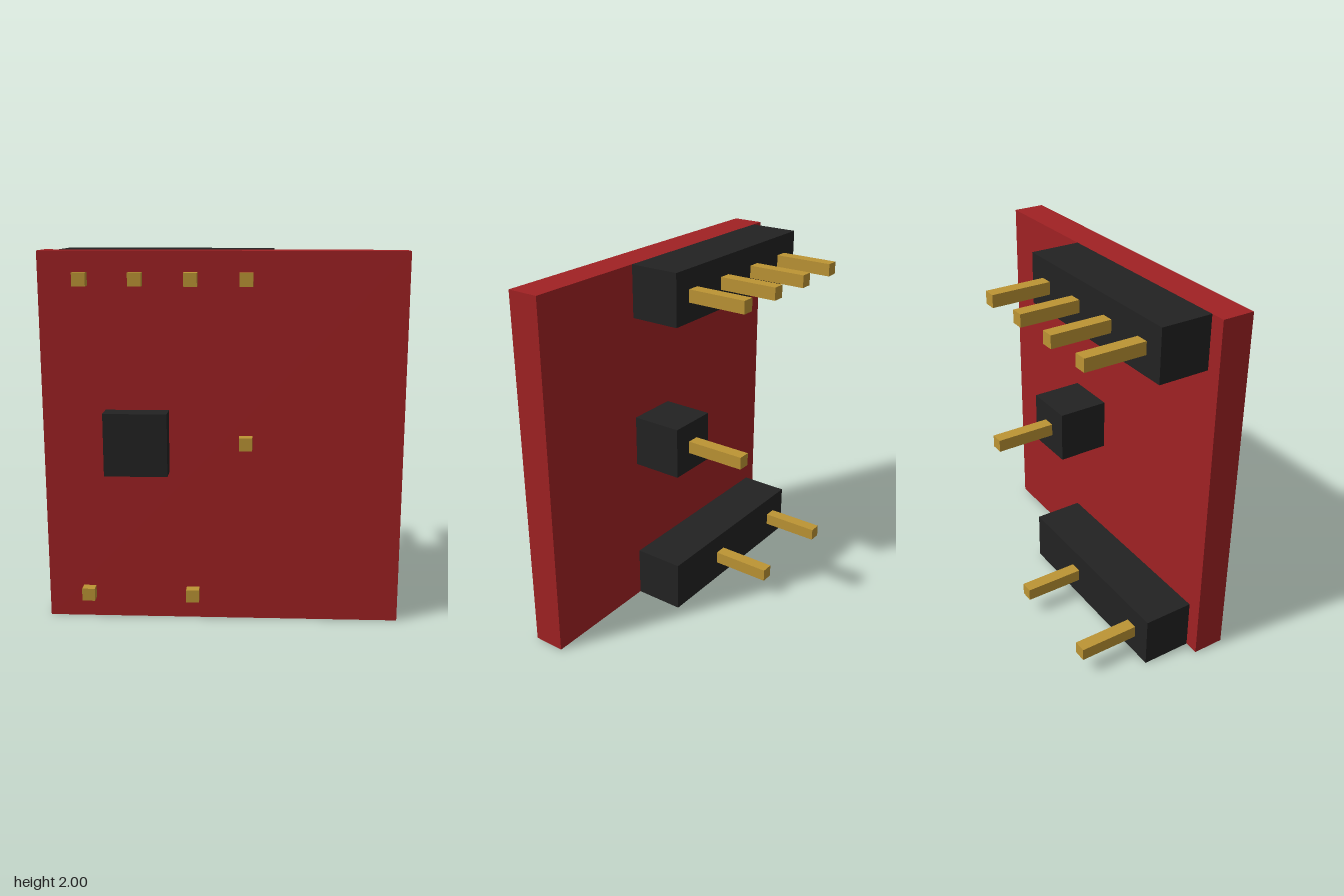
import * as THREE from 'three';

export function createModel() {
  const model = new THREE.Group();
  model.name = 'circuitBoard';

  const material = (name, color) => {
    const m = new THREE.MeshStandardMaterial({ color });
    m.name = name;
    return m;
  };
  const red = material('boardRed', 0xa02123);
  const black = material('plasticBlack', 0x222222);
  const gold = material('pinGold', 0xbc9434);

  // Box given by its extents on each axis
  const box = (name, mat, [x0, x1], [y0, y1], [z0, z1]) => {
    const mesh = new THREE.Mesh(new THREE.BoxGeometry(x1 - x0, y1 - y0, z1 - z0), mat);
    mesh.position.set((x0 + x1) / 2, (y0 + y1) / 2, (z0 + z1) / 2);
    mesh.name = name;
    model.add(mesh);
  };

  const backZ = 0.165, frontZ = 0.343;
  box('board', red, [-0.957, 0.957], [0, 2], [backZ, frontZ]);
  box('chip', black, [-0.62, -0.284], [0.834, 1.17], [frontZ, 0.455]);

  // Header blocks behind the board; each has slots on a fixed pitch, some holding pins
  const pitch = 0.286, pinHalf = 0.035, firstX = -0.734;
  const headers = [
    { name: 'top', y: 1.857, first: 0, last: 3, pins: [0, 1, 2, 3] },
    { name: 'middle', y: 1, first: 3, last: 3, pins: [3] },
    { name: 'bottom', y: 0.143, first: 0, last: 3, pins: [0, 2] },
  ];
  for (const { name, y, first, last, pins } of headers) {
    const slotX = (i) => firstX + i * pitch;
    const half = pitch / 2;
    box(name + 'Header', black, [slotX(first) - half, slotX(last) + half],
      [y - half, y + half], [-0.118, backZ]);
    // Pins pass right through the header and the board
    for (const i of pins) {
      box(name + 'Pin' + (i + 1), gold, [slotX(i) - pinHalf, slotX(i) + pinHalf],
        [y - pinHalf, y + pinHalf], [-0.455, 0.4]);
    }
  }
  return model;
}
